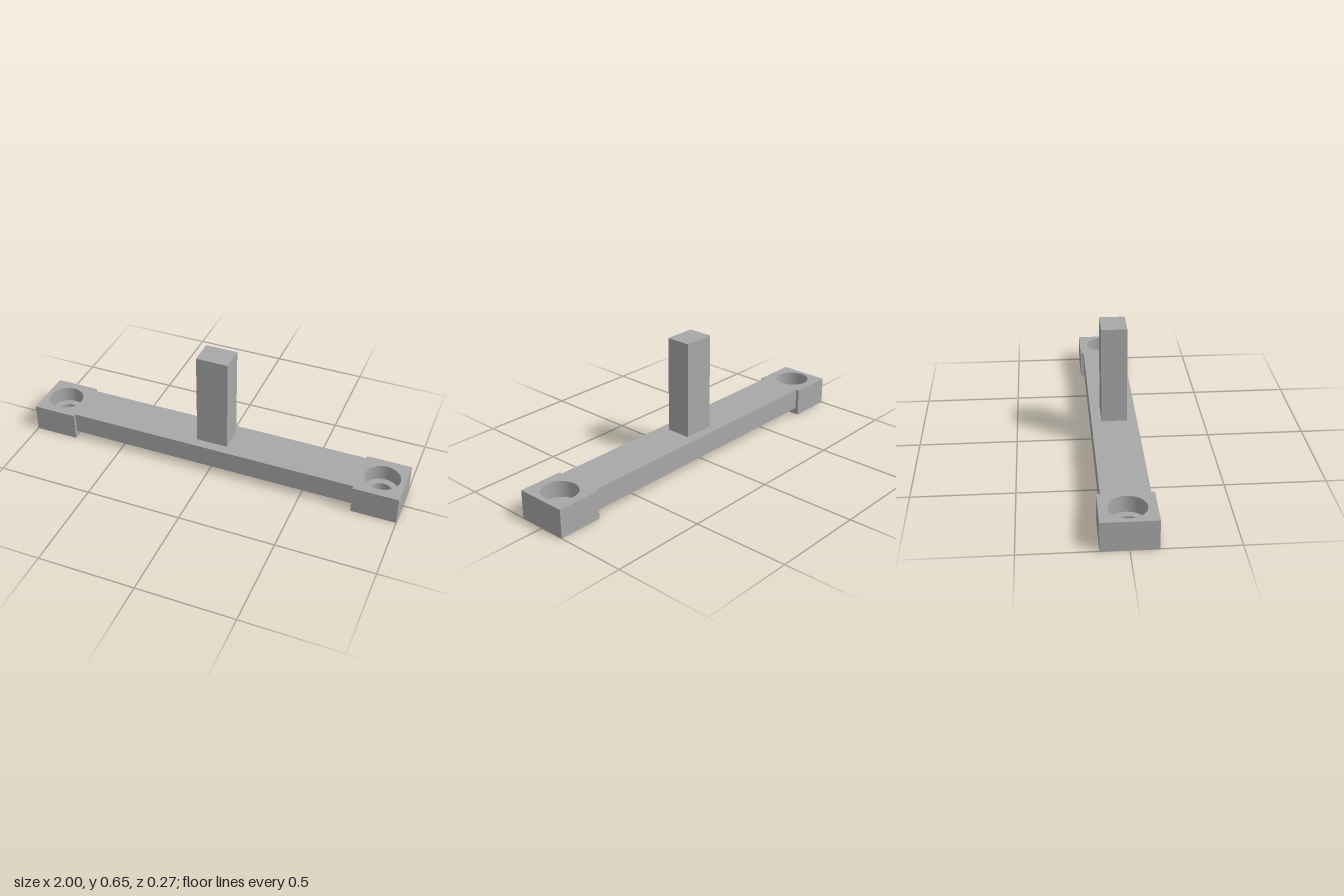
import * as THREE from 'three';
import { toCreasedNormals, mergeGeometries } from 'three/addons/utils/BufferGeometryUtils.js';

const TOP = 0.147, BLOCK_W = 0.232, BLOCK_D = 0.266;
const BORE_R = 0.09, HOLE_R = 0.055, LEDGE_Y = 0.063, HOLE_X = 0.884;

// Horizontal rectangular face with a round hole
function holedFace(radius, y, up) {
  const w = BLOCK_W / 2, d = BLOCK_D / 2;
  const shape = new THREE.Shape([
    new THREE.Vector2(-w, -d), new THREE.Vector2(w, -d),
    new THREE.Vector2(w, d), new THREE.Vector2(-w, d),
  ]);
  const hole = new THREE.Path();
  hole.absarc(0, 0, radius, 0, Math.PI * 2, true);
  shape.holes.push(hole);
  return new THREE.ShapeGeometry(shape, 24)
    .rotateX(up ? -Math.PI / 2 : Math.PI / 2)
    .translate(0, y, 0);
}

// Mounting block: four side walls, two holed faces and a stepped bore
function blockGeometry() {
  const walls = new THREE.BoxGeometry(BLOCK_W, TOP, BLOCK_D).translate(0, TOP / 2, 0);
  const index = Array.from(walls.index.array);
  walls.setIndex([...index.slice(0, 12), ...index.slice(24)]);
  walls.clearGroups();

  const profile = [[BORE_R, TOP], [BORE_R, LEDGE_Y], [HOLE_R, LEDGE_Y], [HOLE_R, 0]];
  const bore = new THREE.LatheGeometry(profile.map(p => new THREE.Vector2(...p)), 48);

  const parts = [walls, holedFace(BORE_R, TOP, true), holedFace(HOLE_R, 0, false)]
    .map(g => g.toNonIndexed());
  parts.push(toCreasedNormals(bore, Math.PI / 6));
  return mergeGeometries(parts);
}

export function createModel() {
  const model = new THREE.Group();
  const grey = new THREE.MeshStandardMaterial({ color: 0xa8a8a8 });
  grey.name = 'plain grey';

  const add = (name, geometry, x, y) => {
    const mesh = new THREE.Mesh(geometry, grey);
    mesh.name = name;
    mesh.position.set(x, y, 0);
    model.add(mesh);
  };

  // Crossbar, raised slightly off the ground between the blocks
  add('crossbar', new THREE.BoxGeometry(1.536, TOP - 0.035, 0.232), 0, (TOP + 0.035) / 2);

  // Upright post in the middle
  add('post', new THREE.BoxGeometry(0.166, 0.65 - TOP, 0.13), 0, (0.65 + TOP) / 2);

  // Mounting blocks at both ends
  const block = blockGeometry();
  add('leftBlock', block, HOLE_X, 0);
  add('rightBlock', block, -HOLE_X, 0);

  return model;
}
